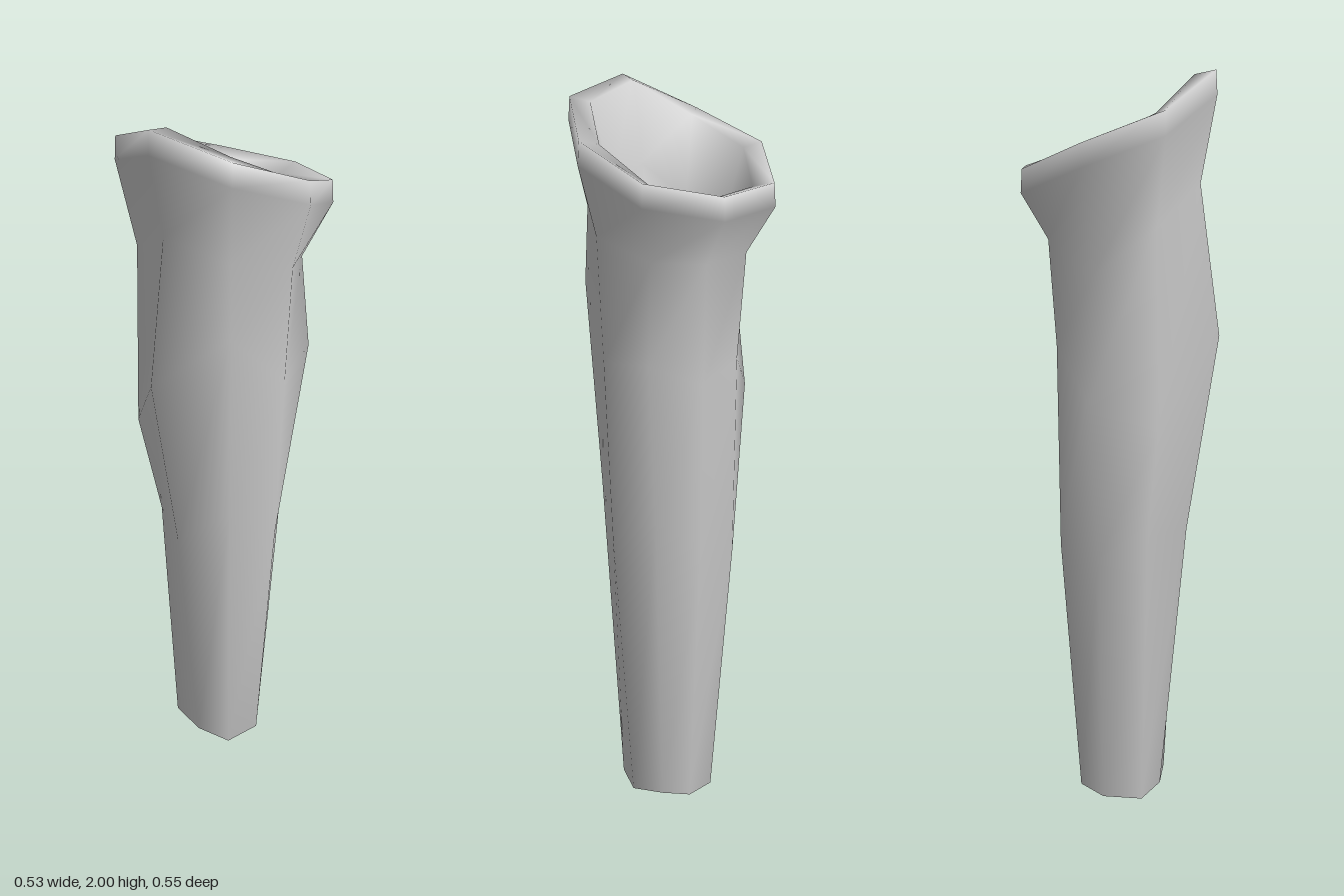
import * as THREE from 'three';

const SIDES = 8;

// Skin through eight-sided rings; each ring lists a radius and a height per corner
function skin(rings) {
  const positions = [], index = [];
  for (const { r, y } of rings) {
    for (let i = 0; i < SIDES; i++) {
      const a = (i / SIDES) * Math.PI * 2;
      positions.push(r[i] * Math.cos(a), y[i], r[i] * Math.sin(a));
    }
  }
  for (let k = 0; k < rings.length - 1; k++) {
    for (let i = 0; i < SIDES; i++) {
      const a = k * SIDES + i, b = k * SIDES + (i + 1) % SIDES;
      const c = a + SIDES, d = b + SIDES;
      index.push(a, c, b, b, c, d);
    }
  }
  const geometry = new THREE.BufferGeometry();
  geometry.setAttribute('position', new THREE.Float32BufferAttribute(positions, 3));
  geometry.setIndex(index);
  geometry.computeVertexNormals();
  return geometry;
}

const all = (v) => new Array(SIDES).fill(v);

export function createModel() {
  const group = new THREE.Group();
  group.name = 'hollowStump';

  // Slanted mouth heights, corner by corner from +x towards +z
  const rimY = [1.785, 1.87, 1.957, 2.0, 1.91, 1.835, 1.76, 1.75];
  const rimR = [0.262, 0.263, 0.272, 0.26, 0.265, 0.278, 0.273, 0.265];
  const below = (d) => rimY.map((y) => y - d);

  const rings = [
    // closed foot
    { r: all(0), y: all(0) },
    { r: [0.09, 0.125, 0.145, 0.125, 0.15, 0.13, 0.12, 0.11], y: all(0.006) },
    // tapering shaft
    { r: [0.155, 0.18, 0.197, 0.195, 0.18, 0.165, 0.175, 0.16],
      y: [0.88, 0.8, 0.92, 0.79, 0.8, 0.73, 0.75, 0.78] },
    // uneven bulge
    { r: [0.215, 0.2, 0.235, 0.277, 0.235, 0.235, 0.18, 0.168],
      y: [1.32, 1.3, 1.48, 1.33, 1.1, 1.18, 1.3, 1.25] },
    // neck
    { r: [0.19, 0.215, 0.225, 0.22, 0.22, 0.195, 0.2, 0.18],
      y: [1.58, 1.63, 1.68, 1.72, 1.62, 1.5, 1.58, 1.57] },
    // flared lip
    { r: rimR, y: below(0.06) },
    { r: rimR.map((r) => r - 0.004), y: rimY },
    { r: rimR.map((r) => r - 0.06), y: below(0.012) },
    // hollow inside
    { r: all(0.15), y: below(0.22) },
    { r: all(0.09), y: all(1.45) },
    { r: all(0), y: all(1.41) },
  ];

  const trunk = new THREE.Mesh(
    skin(rings),
    new THREE.MeshStandardMaterial({ color: 0xcccccc }),
  );
  trunk.name = 'trunk';
  group.add(trunk);
  return group;
}
